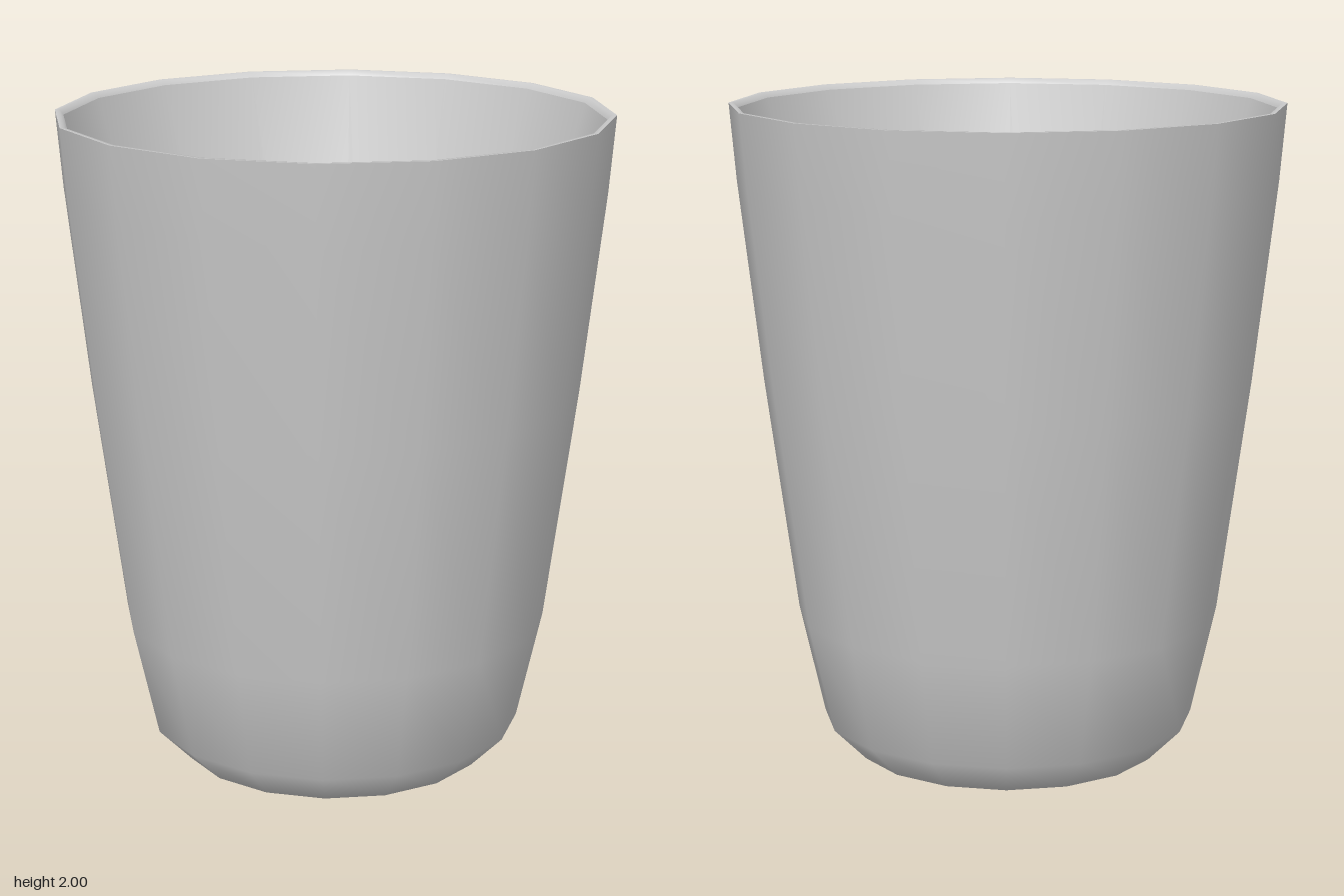
import * as THREE from 'three';

const SIDES = 16;

// Revolve a list of [radius, height] points around the y axis.
function revolve(name, points, material) {
  const profile = points.map(([r, y]) => new THREE.Vector2(r, y));
  const mesh = new THREE.Mesh(new THREE.LatheGeometry(profile, SIDES), material);
  mesh.name = name;
  return mesh;
}

export function createModel() {
  const group = new THREE.Group();
  group.name = 'cup';
  const material = new THREE.MeshStandardMaterial({ color: 0xcccccc });

  // Outer shell: flat base, rounded foot, flaring wall
  group.add(revolve('outerWall', [
    [0, 0], [0.31, 0], [0.46, 0.04], [0.56, 0.14], [0.635, 0.47],
    [0.73, 1.17], [0.80, 1.77], [0.82, 2],
  ], material));

  // Thin lip joining the outer and inner walls
  group.add(revolve('rim', [[0.82, 2], [0.806, 2], [0.795, 1.985]], material));

  // Tapering interior down to a small floor
  group.add(revolve('innerWall', [[0.795, 1.985], [0.28, 0.05], [0, 0.05]], material));

  return group;
}
